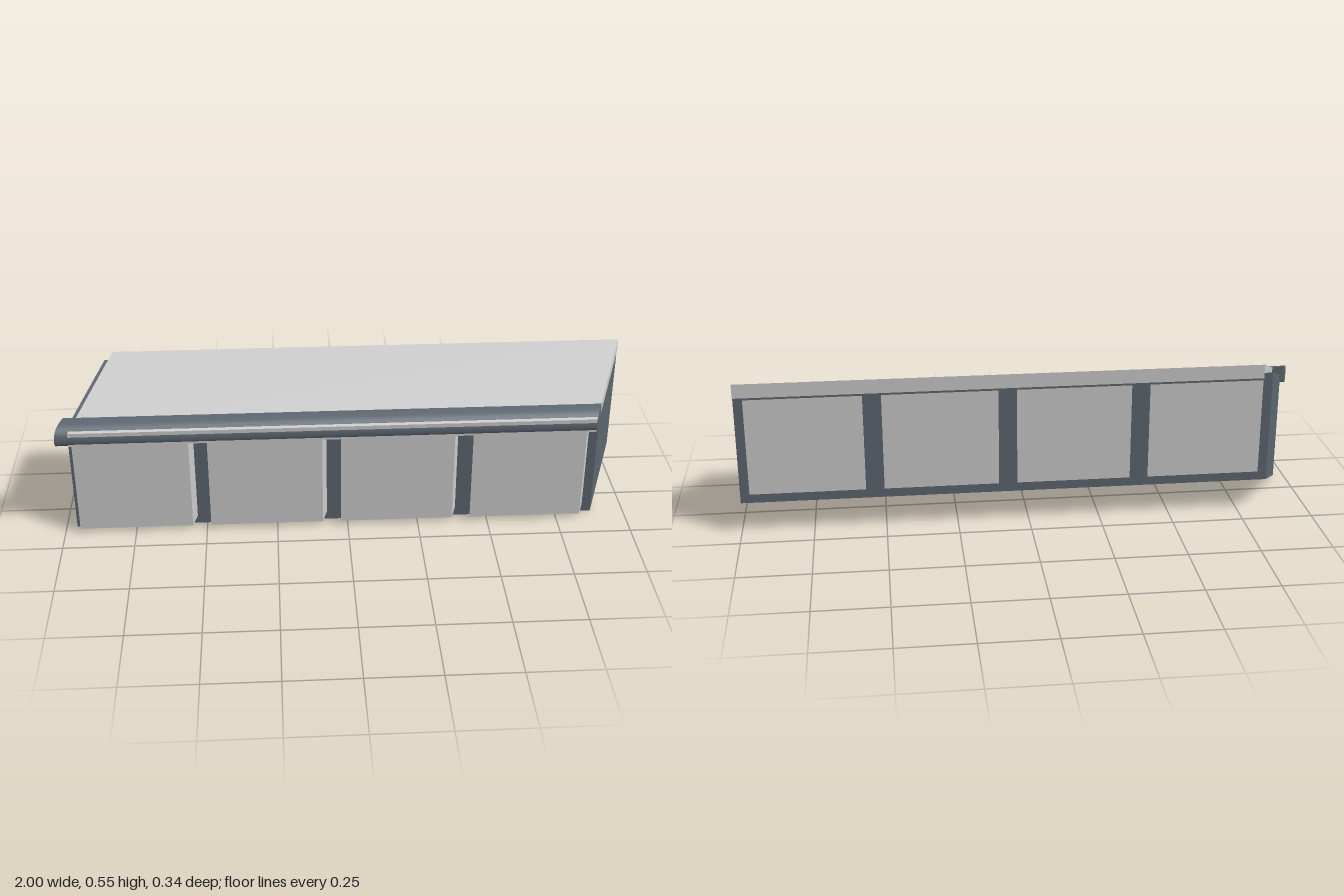
import * as THREE from 'three';
import { toCreasedNormals } from 'three/addons/utils/BufferGeometryUtils.js';

const FRONT = 0.115, BACK = -0.17;   // cabinet depth range
const LEFT = -0.963, RIGHT = 0.882;  // cabinet run range
const SKEW = 0.4;                    // x and y gained per unit of depth

// The whole run is skewed: everything moves right and up towards the back.
const skew = new THREE.Matrix4().set(
  1, 0, -SKEW, SKEW * FRONT,
  0, 1, -SKEW, SKEW * FRONT,
  0, 0, 1, 0,
  0, 0, 0, 1);

const dark = new THREE.MeshStandardMaterial({ color: 0x5c6670 });
const light = new THREE.MeshStandardMaterial({ color: 0xcccccc });

function part(name, geometry, material) {
  const mesh = new THREE.Mesh(geometry.applyMatrix4(skew), material);
  mesh.name = name;
  return mesh;
}

// Box given by its extents
function block(name, x0, x1, y0, y1, z0, z1, material) {
  const g = new THREE.BoxGeometry(x1 - x0, y1 - y0, z1 - z0);
  g.translate((x0 + x1) / 2, (y0 + y1) / 2, (z0 + z1) / 2);
  return part(name, g, material);
}

// Rounded front edge of the worktop, extruded along x
function edgeRail() {
  const s = new THREE.Shape();
  s.moveTo(-0.105, 0.376);
  s.lineTo(-0.145, 0.375);
  s.quadraticCurveTo(-0.171, 0.375, -0.171, 0.405);
  s.quadraticCurveTo(-0.171, 0.439, -0.135, 0.439);
  s.lineTo(-0.105, 0.434);
  s.closePath();
  const x0 = -0.978;
  const g = new THREE.ExtrudeGeometry(s, { depth: RIGHT + 0.002 - x0, bevelEnabled: false, curveSegments: 8 });
  g.rotateY(Math.PI / 2).translate(x0, 0, 0);
  return part('edgeRail', toCreasedNormals(g, 0.6), dark);
}

export function createModel() {
  const model = new THREE.Group();
  model.name = 'cabinetRun';

  // Four cabinets, each with an inset panel standing proud at the front
  const count = 4, width = (RIGHT - LEFT) / count, inset = 0.032;
  for (let i = 0; i < count; i++) {
    const x0 = LEFT + i * width, x1 = x0 + width;
    const cabinet = new THREE.Group();
    cabinet.name = 'cabinet' + (i + 1);
    cabinet.add(
      block('carcass', x0, x1, 0, 0.403, BACK, FRONT, dark),
      block('doorPanel', x0 + inset, x1 - inset, 0.031, 0.376, BACK - 0.0008, 0.154, light));
    model.add(cabinet);
  }

  // Worktop, stopping just short of the cabinets' right-hand end
  model.add(block('worktop', -0.933, RIGHT + 0.001, 0.383, 0.433, BACK - 0.001, 0.169, light));
  model.add(edgeRail());
  return model;
}
